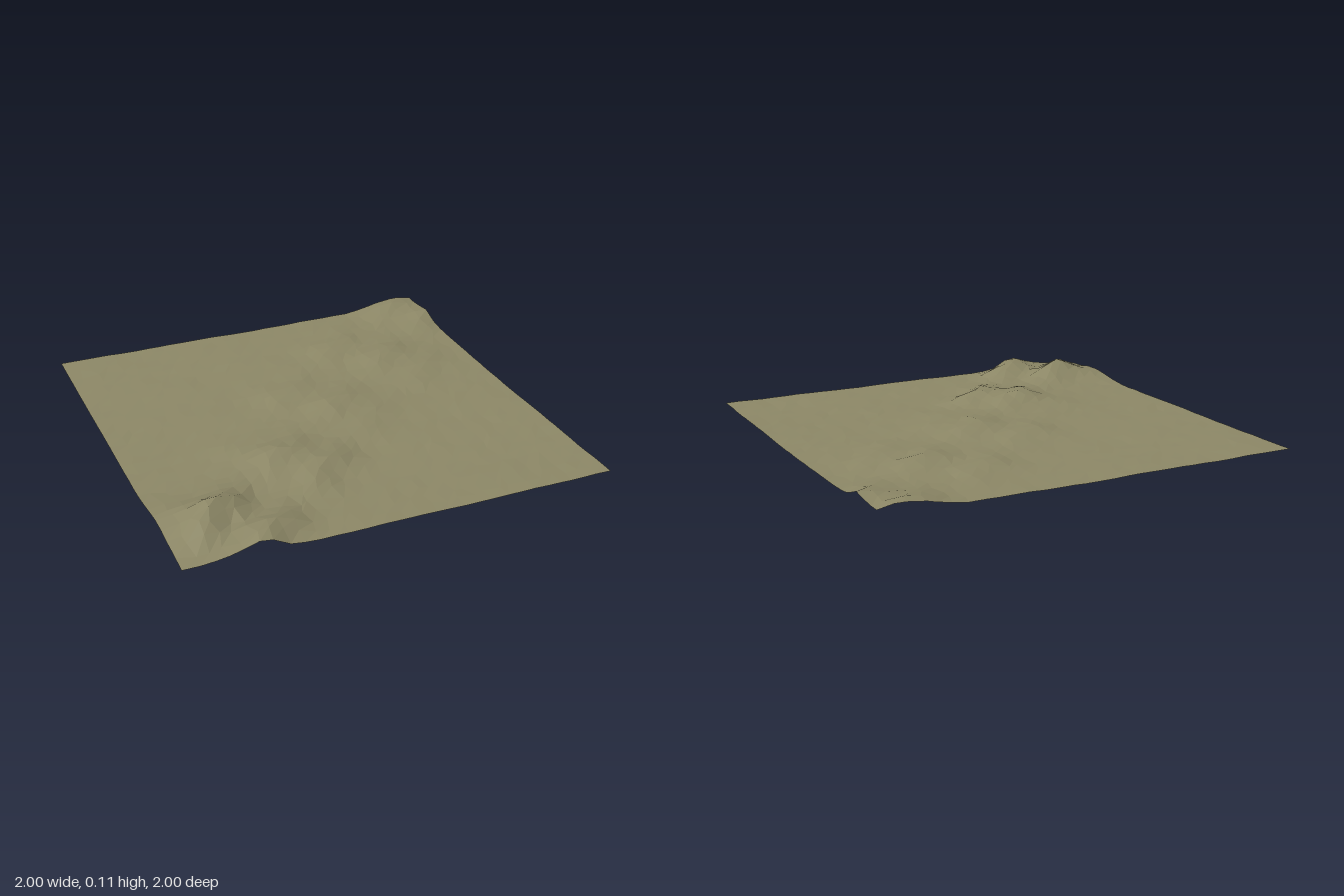
import * as THREE from 'three';

// Dune crests: [x, z, height above the plain]
const CRESTS = [
  [-0.76, 0.70, 0.098], [-0.60, 0.92, 0.072], [-0.97, 0.64, 0.03],
  [-0.33, 0.35, 0.055], [-0.18, 0.49, 0.048], [-0.47, 0.20, 0.012],
  [0.10, -0.02, 0.036], [-0.07, -0.21, 0.026], [0.22, 0.14, 0.018],
  [0.55, -0.42, 0.036], [0.36, -0.60, 0.026], [0.68, -0.24, 0.02],
  [0.87, -0.97, 0.045], [1.0, -0.80, 0.045],
];

const SEGMENTS = 30;

// Small repeatable random generator
function seeded(seed) {
  let s = seed;
  return () => {
    s = (s * 16807) % 2147483647;
    return s / 2147483647;
  };
}

const gauss = (d, width) => Math.exp(-0.5 * (d / width) ** 2);

// Height of the ground: a gently falling plain, with crests along the diagonal
function heightAt(x, z) {
  const across = (x + z) / Math.SQRT2;
  const along = (x - z) / Math.SQRT2;
  let y = 0.019 - 0.006 * Math.tanh(across * 2);
  y += 0.007 * THREE.MathUtils.smoothstep(z, 0.6, 1);
  y += 0.006 * gauss(across - 0.06, 0.25);
  y += 0.002 * Math.sin(7 * x + 2 * z) * Math.cos(6 * z - 3 * x);
  for (const [cx, cz, h] of CRESTS) {
    const du = across - (cx + cz) / Math.SQRT2 + 0.02 * Math.sin(along * 22);
    const dv = along - (cx - cz) / Math.SQRT2;
    // The slope is steeper on the lee side
    y += h * gauss(du, du > 0 ? 0.062 : 0.085) * gauss(dv, 0.15);
  }
  return y;
}

export function createModel() {
  const group = new THREE.Group();
  group.name = 'terrain';

  // Square sheet with a slightly irregular grid, raised by the height rule
  const geometry = new THREE.PlaneGeometry(2, 2, SEGMENTS, SEGMENTS);
  geometry.rotateX(-Math.PI / 2);
  const random = seeded(17);
  const pos = geometry.attributes.position;
  const step = 2 / SEGMENTS;
  for (let i = 0; i < pos.count; i++) {
    let x = pos.getX(i);
    let z = pos.getZ(i);
    const jx = (random() - 0.5) * step * 0.5;
    const jz = (random() - 0.5) * step * 0.5;
    const rough = (random() - 0.5) * 0.003;
    // Keep the border straight
    if (Math.abs(x) < 0.999) x += jx;
    if (Math.abs(z) < 0.999) z += jz;
    pos.setXYZ(i, x, heightAt(x, z) + rough, z);
  }
  geometry.computeBoundingBox();
  geometry.translate(0, -geometry.boundingBox.min.y, 0);
  geometry.computeVertexNormals();

  const ground = new THREE.Mesh(
    geometry,
    new THREE.MeshStandardMaterial({ color: 0x8c8766, flatShading: true, side: THREE.DoubleSide }),
  );
  ground.name = 'duneGround';
  group.add(ground);
  return group;
}
